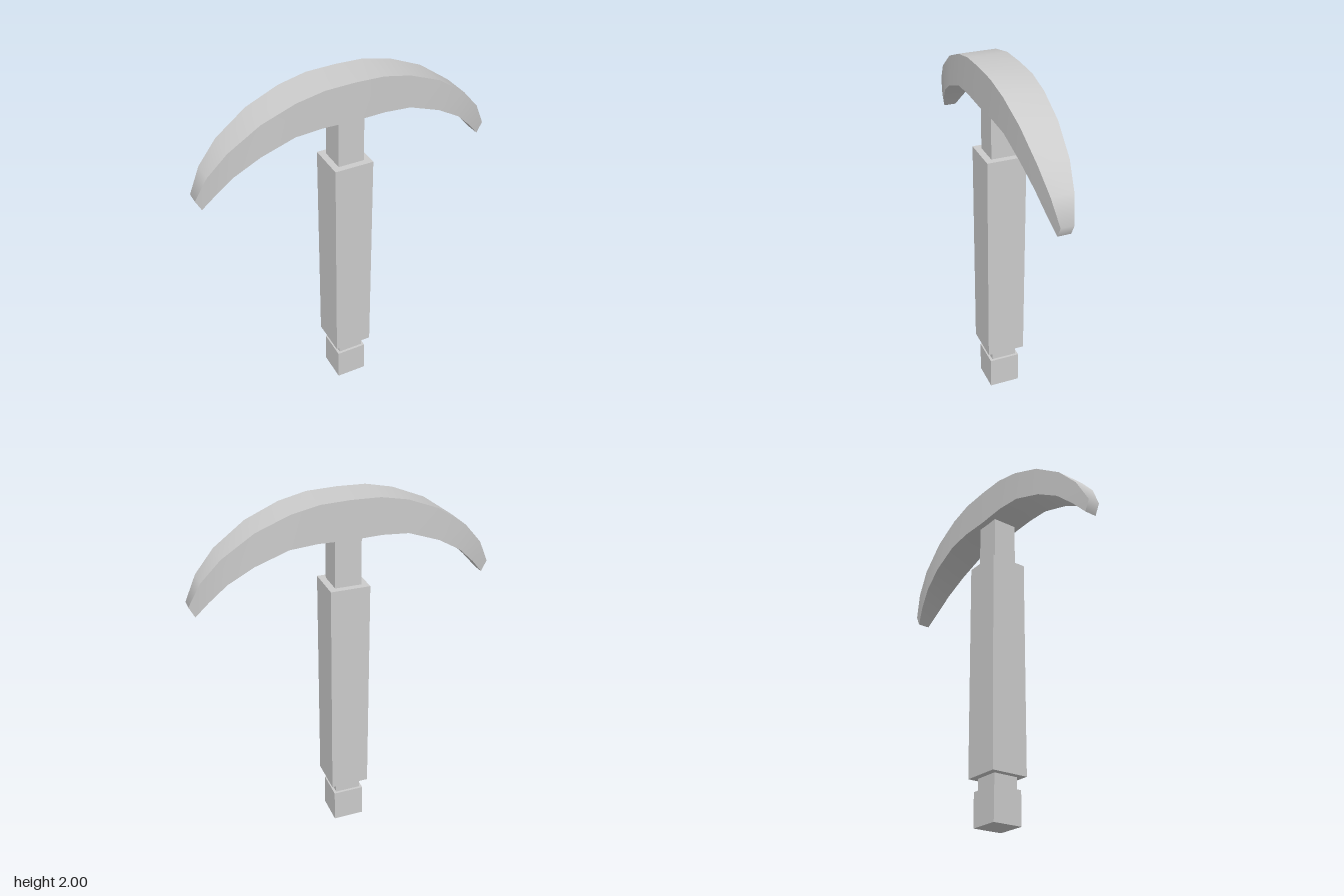
import * as THREE from 'three';
import { toCreasedNormals } from 'three/addons/utils/BufferGeometryUtils.js';

// Half of the curved head, centre to tip: top x, top y, bottom x, bottom y, half depth
const HALF = [
  [0.16, 1.995, 0.17, 1.795, 0.109],
  [0.31, 1.963, 0.32, 1.782, 0.105],
  [0.49, 1.89, 0.5, 1.715, 0.096],
  [0.66, 1.772, 0.635, 1.635, 0.08],
  [0.765, 1.655, 0.73, 1.545, 0.059],
  [0.83, 1.525, 0.8, 1.465, 0.035],
];

function headGeometry() {
  const mirrored = HALF.map(([tx, ty, bx, by, d]) => [-tx, ty, -bx, by, d]).reverse();
  const sections = [...mirrored, [0, 2, 0, 1.79, 0.109], ...HALF];
  // Four corners per section: top front, top back, bottom back, bottom front
  const pos = sections.flatMap(([tx, ty, bx, by, d]) =>
    [tx, ty, d, tx, ty, -d, bx, by, -d, bx, by, d]);
  const index = [];
  const quad = (a, b, c, d) => index.push(a, b, c, a, c, d);
  const last = (sections.length - 1) * 4;
  for (let i = 0; i < last; i += 4) {
    for (let k = 0; k < 4; k++) {
      const n = (k + 1) % 4;
      quad(i + k, i + 4 + k, i + 4 + n, i + n);
    }
  }
  // Blunt tips
  quad(0, 1, 2, 3);
  quad(last + 3, last + 2, last + 1, last);
  const geo = new THREE.BufferGeometry();
  geo.setAttribute('position', new THREE.Float32BufferAttribute(pos, 3));
  geo.setIndex(index);
  return toCreasedNormals(geo, 1.0);
}

export function createModel() {
  const group = new THREE.Group();
  const material = new THREE.MeshStandardMaterial({ color: 0xcccccc });
  const add = (name, geometry) => {
    const mesh = new THREE.Mesh(geometry, material);
    mesh.name = name;
    group.add(mesh);
    return mesh;
  };
  const post = (name, width, y0, y1) => {
    add(name, new THREE.BoxGeometry(width, y1 - y0, width)).position.y = (y0 + y1) / 2;
  };

  // Square handle, bottom to top
  post('pommel', 0.175, 0, 0.19);
  post('lowerShaft', 0.145, 0.19, 0.26);
  post('grip', 0.218, 0.26, 1.52);
  post('upperShaft', 0.145, 1.52, 1.84);

  // Arched, tapering pick head
  add('pickHead', headGeometry());
  return group;
}
